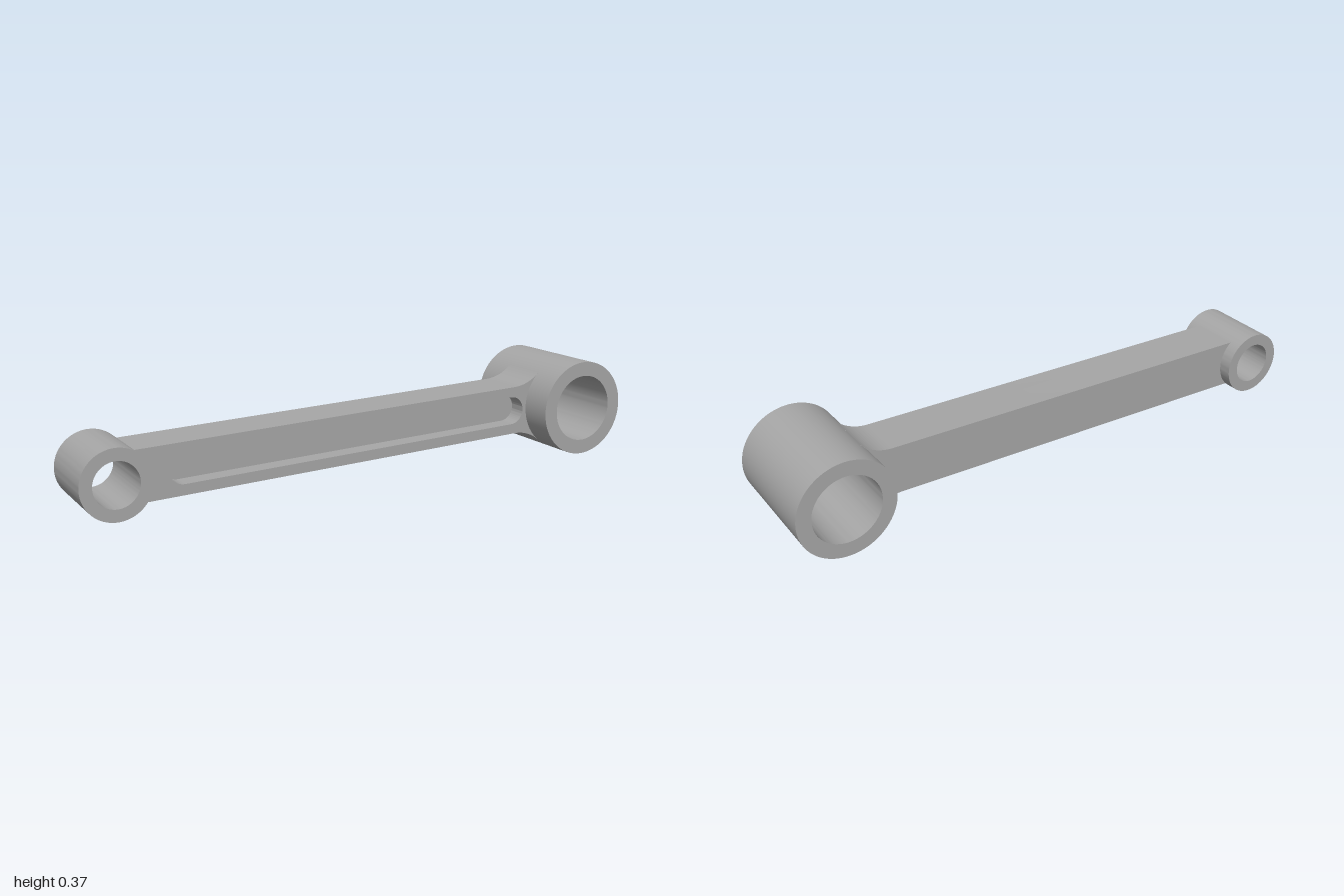
import * as THREE from 'three';
import { toCreasedNormals } from 'three/addons/utils/BufferGeometryUtils.js';

// Main dimensions: x runs along the arm, z along the bores
const SMALL = { x: -0.992, radius: 0.125, bore: 0.081, length: 0.288 };
const LARGE = { x: 0.868, radius: 0.183, bore: 0.128, length: 0.436 };
const MID_Z = 0.012;
const HALF_HEIGHT = 0.093;
const BACK_Z = -0.081, FLOOR_Z = 0.037, FRONT_Z = 0.105;

function extrude(shape, zFrom, zTo) {
  const geometry = new THREE.ExtrudeGeometry(shape, {
    depth: zTo - zFrom, bevelEnabled: false, curveSegments: 48,
  });
  geometry.translate(0, 0, zFrom);
  return toCreasedNormals(geometry, 0.5);
}

// Hollow bearing sleeve standing on y = 0
function makeSleeve(name, { x, radius, bore, length }, material) {
  const shape = new THREE.Shape();
  shape.absarc(0, 0, radius, 0, Math.PI * 2, false);
  const hole = new THREE.Path();
  hole.absarc(0, 0, bore, 0, Math.PI * 2, true);
  shape.holes.push(hole);
  const mesh = new THREE.Mesh(extrude(shape, MID_Z - length / 2, MID_Z + length / 2), material);
  mesh.name = name;
  mesh.position.set(x, radius, 0);
  return mesh;
}

// Arm outline from the small bore centre (0, 0) to the large one (span, 0)
function armOutline(span) {
  const h = HALF_HEIGHT, r = 0.17, R = LARGE.radius;
  const d = Math.sqrt((R + r) ** 2 - (h + r) ** 2);
  const a = Math.atan2(h + r, d);
  const inner = 0.155, start = 0.11;
  const b = Math.asin(h / start);
  const shape = new THREE.Shape();
  shape.moveTo(start * Math.cos(b), -h);
  shape.lineTo(span - d, -h);
  // fillets run tangent into the large sleeve, ends stay inside its wall
  shape.absarc(span - d, -h - r, r, Math.PI / 2, a, true);
  shape.absarc(span, 0, inner, Math.PI + a, Math.PI - a, true);
  shape.absarc(span - d, h + r, r, -a, -Math.PI / 2, true);
  shape.lineTo(start * Math.cos(b), h);
  shape.absarc(0, 0, start, b, -b, true);
  return shape;
}

// Rounded slot
function slotPath(from, to, radius) {
  const path = new THREE.Path();
  path.absarc(from + radius, 0, radius, Math.PI * 1.5, Math.PI / 2, true);
  path.absarc(to - radius, 0, radius, Math.PI / 2, -Math.PI / 2, true);
  path.closePath();
  return path;
}

export function createModel() {
  const metal = new THREE.MeshStandardMaterial({ color: 0xa6a6a6 });
  metal.name = 'grey metal';

  const model = new THREE.Group();
  model.name = 'linkArm';
  model.add(makeSleeve('smallSleeve', SMALL, metal), makeSleeve('largeSleeve', LARGE, metal));

  // Arm follows the slightly rising line between the bore centres
  const dx = LARGE.x - SMALL.x, dy = LARGE.radius - SMALL.radius;
  const span = Math.hypot(dx, dy);
  const arm = new THREE.Group();
  arm.name = 'arm';
  arm.position.set(SMALL.x, SMALL.radius, 0);
  arm.rotation.z = Math.atan2(dy, dx);

  const web = new THREE.Mesh(extrude(armOutline(span), BACK_Z, FLOOR_Z), metal);
  web.name = 'armWeb';

  const slotted = armOutline(span);
  slotted.holes.push(slotPath(0.196, span - 0.198, 0.054));
  const rim = new THREE.Mesh(extrude(slotted, FLOOR_Z, FRONT_Z), metal);
  rim.name = 'slottedRim';

  arm.add(web, rim);
  model.add(arm);

  // The whole part lies diagonally
  model.rotation.y = THREE.MathUtils.degToRad(34);
  const group = new THREE.Group();
  group.name = 'model';
  group.add(model);
  return group;
}
